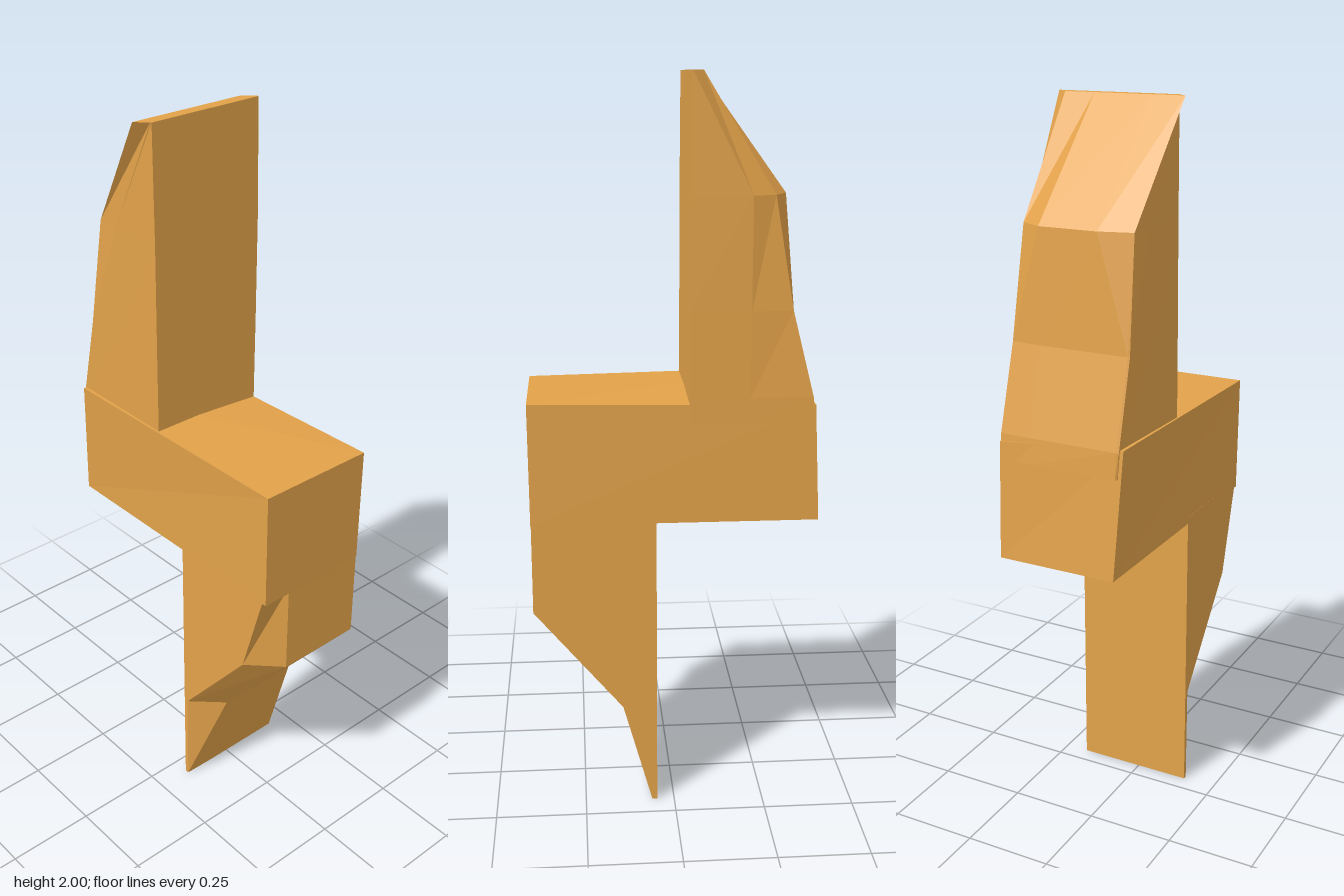
import * as THREE from 'three';

const material = new THREE.MeshStandardMaterial({ color: 0xe2a24a, flatShading: true });

// Solid through stacked cross-sections, listed bottom to top.
// Each section is a loop of [x, y, z], counter-clockwise from above.
function loft(name, sections) {
  const pos = [];
  const tri = (a, b, c) => pos.push(...a, ...b, ...c);
  const n = sections[0].length;
  for (let s = 0; s < sections.length - 1; s++) {
    const lo = sections[s], hi = sections[s + 1];
    for (let i = 0; i < n; i++) {
      const j = (i + 1) % n;
      tri(lo[i], lo[j], hi[j]);
      tri(lo[i], hi[j], hi[i]);
    }
  }
  const bottom = sections[0], top = sections[sections.length - 1];
  for (let i = 1; i < n - 1; i++) {
    tri(bottom[0], bottom[i + 1], bottom[i]);
    tri(top[0], top[i], top[i + 1]);
  }
  const geometry = new THREE.BufferGeometry();
  geometry.setAttribute('position', new THREE.Float32BufferAttribute(pos, 3));
  geometry.computeVertexNormals();
  const mesh = new THREE.Mesh(geometry, material);
  mesh.name = name;
  return mesh;
}

// Section at one height from [x, z] pairs
const level = (y, points) => points.map(([x, z]) => [x, y, z]);

export function createModel() {
  const group = new THREE.Group();
  group.name = 'zigzagBolt';

  // Upper fin: left edge (front to back) is chamfered and leans in to the tip.
  // Order: outer front, inner front, front right, back right, inner back,
  // outer back, mid back, mid front
  group.add(loft('upperFin', [
    level(1.1, [[-0.37, 0.155], [-0.2, 0.158], [-0.04, 0.158], [-0.04, -0.185],
      [-0.2, -0.185], [-0.375, -0.185], [-0.377, -0.1], [-0.375, 0.15]]),
    level(1.17, [[-0.368, 0.158], [-0.2, 0.158], [-0.04, 0.158], [-0.04, -0.185],
      [-0.2, -0.185], [-0.368, -0.185], [-0.37, -0.1], [-0.37, 0.152]]),
    level(1.4, [[-0.313, 0.16], [-0.2, 0.158], [-0.04, 0.157], [-0.04, -0.187],
      [-0.2, -0.187], [-0.31, -0.178], [-0.315, -0.095], [-0.315, 0.155]]),
    level(1.695, [[-0.27, 0.15], [-0.2, 0.155], [-0.04, 0.155], [-0.04, -0.188],
      [-0.2, -0.188], [-0.26, -0.168], [-0.294, -0.105], [-0.294, 0.06]]),
    level(2, [[-0.075, 0.187], [-0.045, 0.157], [-0.042, 0.155], [-0.042, -0.185],
      [-0.045, -0.185], [-0.075, -0.15], [-0.075, -0.065], [-0.075, 0.1]]),
  ]));

  // Middle block, its front leaning slightly forward at the upper left
  group.add(loft('middleBlock', [
    level(0.83, [[-0.39, 0.152], [0.385, 0.154], [0.385, -0.184], [-0.39, -0.185]]),
    [[-0.363, 1.175, 0.168], [0.387, 1.163, 0.157], [0.387, 1.163, -0.184], [-0.375, 1.15, -0.185]],
  ]));

  // Lower fin: right edge chamfered towards the front, tapering to the foot.
  // Order: front left, front right, outer front, outer back, back left
  group.add(loft('lowerFin', [
    level(0, [[0.048, 0.154], [0.06, 0.154], [0.062, 0.07], [0.062, -0.183], [0.048, -0.183]]),
    level(0.29, [[0.048, 0.154], [0.062, 0.154], [0.142, 0.07], [0.142, -0.183], [0.048, -0.183]]),
    level(0.58, [[0.048, 0.154], [0.3, 0.154], [0.384, 0.07], [0.384, -0.183], [0.048, -0.183]]),
    level(0.85, [[0.048, 0.154], [0.377, 0.154], [0.384, 0.07], [0.384, -0.183], [0.048, -0.183]]),
  ]));

  return group;
}
